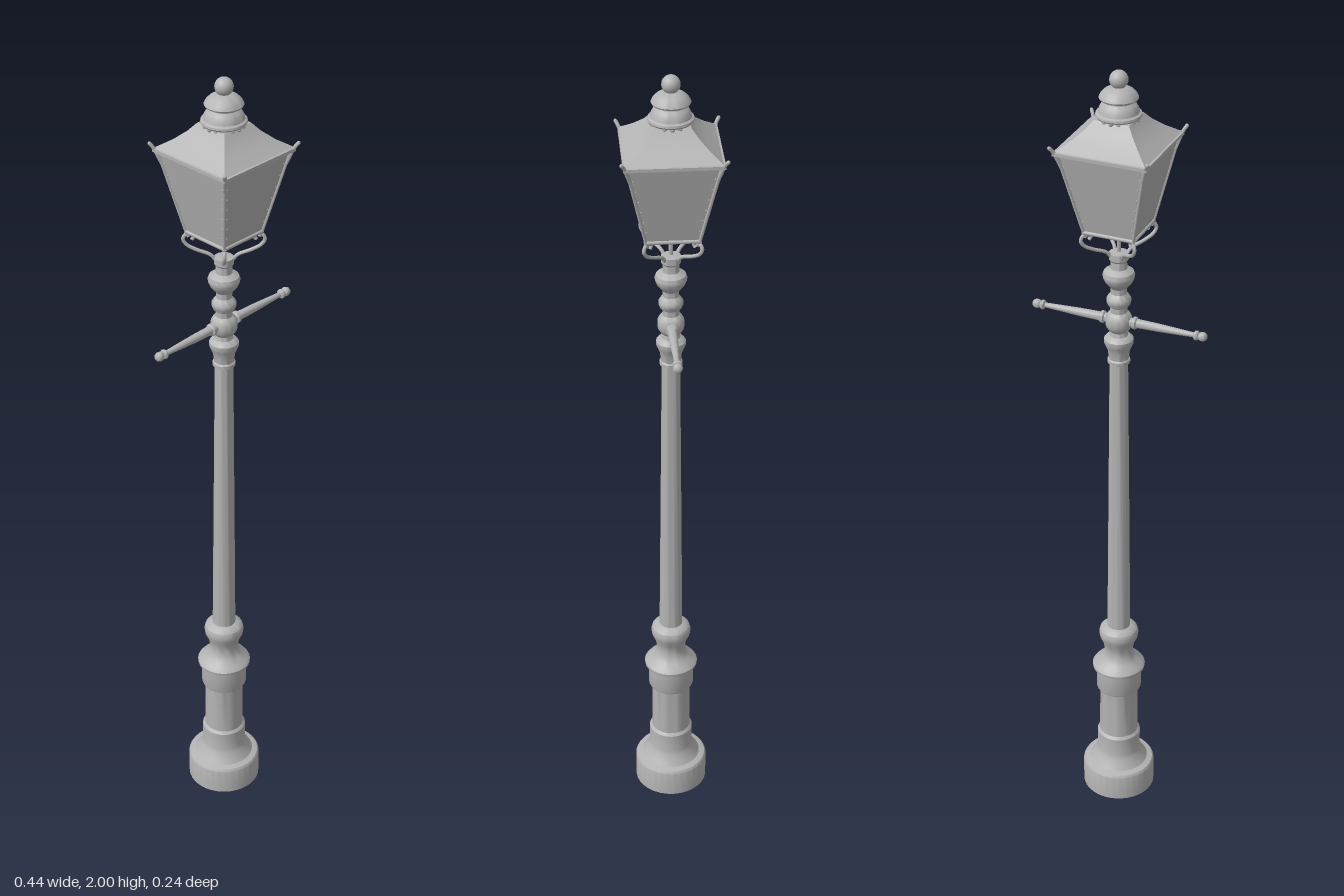
import * as THREE from 'three';
import { toCreasedNormals } from 'three/addons/utils/BufferGeometryUtils.js';

const iron = new THREE.MeshStandardMaterial({ color: 0xb4b4b4, side: THREE.DoubleSide });
iron.name = 'grey iron';

const V = (x, y, z) => new THREE.Vector3(x, y, z);

function add(parent, name, geometry) {
  const mesh = new THREE.Mesh(geometry, iron);
  mesh.name = name;
  parent.add(mesh);
  return mesh;
}

// turned part from [radius, height] pairs
function turned(points, segments = 32, phi = 0, crease = 0.6) {
  const g = new THREE.LatheGeometry(points.map(([r, y]) => new THREE.Vector2(r, y)), segments, phi);
  return toCreasedNormals(g, crease);
}

// square part from [half width, height] pairs
const squared = (points) => turned(points.map(([h, y]) => [h * Math.SQRT2, y]), 4, Math.PI / 4, 0.3);

// straight round bar between two points
function bar(parent, name, a, b, r) {
  const mesh = add(parent, name, new THREE.CylinderGeometry(r, r, a.distanceTo(b), 8));
  mesh.position.copy(a).lerp(b, 0.5);
  mesh.quaternion.setFromUnitVectors(V(0, 1, 0), b.clone().sub(a).normalize());
}

function ball(parent, name, r, x, y, z, detail = 10) {
  add(parent, name, new THREE.SphereGeometry(r, detail * 2, detail)).position.set(x, y, z);
}

function buildPost(model) {
  const post = new THREE.Group();
  post.name = 'post';
  model.add(post);
  // hollow foot, pedestal and vase-shaped neck
  add(post, 'pedestal', turned([
    [0, 0.06], [0.08, 0.06], [0.084, 0], [0.092, 0], [0.092, 0.068], [0.088, 0.074],
    [0.074, 0.078], [0.066, 0.09], [0.058, 0.105], [0.055, 0.115], [0.055, 0.165], [0.049, 0.172],
    [0.048, 0.305], [0.055, 0.308], [0.057, 0.313], [0.057, 0.367], [0.066, 0.373], [0.067, 0.381],
    [0.06, 0.39], [0.046, 0.4], [0.038, 0.415], [0.036, 0.43], [0.04, 0.45], [0.048, 0.467],
    [0.05, 0.48], [0.047, 0.492], [0.038, 0.5], [0.029, 0.503],
  ]));
  add(post, 'shaft', turned([[0.029, 0.5], [0.022, 1.272]]));
  // rings below and above the ladder bar
  add(post, 'collars', turned([
    [0.022, 1.266], [0.027, 1.269], [0.027, 1.277], [0.024, 1.28], [0.026, 1.3], [0.032, 1.315],
    [0.035, 1.322], [0.035, 1.332], [0.03, 1.338], [0.022, 1.342], [0.02, 1.352], [0.026, 1.358],
    [0.031, 1.367], [0.032, 1.378], [0.031, 1.389], [0.026, 1.398], [0.02, 1.403], [0.02, 1.417],
    [0.026, 1.422], [0.029, 1.43], [0.029, 1.438], [0.024, 1.446], [0.019, 1.452], [0.019, 1.466],
    [0.026, 1.474], [0.033, 1.483], [0.037, 1.493], [0.038, 1.5], [0.035, 1.508], [0.027, 1.513],
    [0.02, 1.517], [0.019, 1.535], [0.023, 1.54], [0.023, 1.556], [0, 1.56],
  ]));
}

function buildLadderBar(model) {
  const ladder = new THREE.Group();
  ladder.name = 'ladderBar';
  ladder.position.y = 1.38;
  model.add(ladder);
  for (const s of [1, -1]) {
    const arm = add(ladder, 'ladderBarArm', turned([
      [0.011, 0], [0.011, 0.034], [0.015, 0.037], [0.015, 0.044], [0.011, 0.047], [0.01, 0.1],
      [0.006, 0.188], [0.011, 0.191], [0.012, 0.195], [0.01, 0.199], [0.007, 0.2],
      [0.0105, 0.204], [0.0115, 0.21], [0.009, 0.217], [0.005, 0.22], [0, 0.2205],
    ], 16));
    arm.rotation.z = -s * Math.PI / 2;
  }
}

function buildLantern(model) {
  const lantern = new THREE.Group();
  lantern.name = 'lantern';
  model.add(lantern);
  const low = 1.622, high = 1.822, lowHalf = 0.061, highHalf = 0.104;

  for (let i = 0; i < 4; i++) {
    const side = new THREE.Group();
    side.name = 'lanternSide';
    side.rotation.y = i * Math.PI / 2;
    lantern.add(side);
    const bl = V(-lowHalf, low, lowHalf), br = V(lowHalf, low, lowHalf);
    const tl = V(-highHalf, high, highHalf), tr = V(highHalf, high, highHalf);

    // sloping pane
    const pane = new THREE.BufferGeometry().setFromPoints([bl, br, tr, bl, tr, tl]);
    pane.computeVertexNormals();
    add(side, 'pane', pane);

    // frame bars around the pane
    bar(side, 'lowerRail', bl, br, 0.005);
    bar(side, 'upperRail', tl, tr, 0.004);
    bar(side, 'cornerBar', br, tr, 0.004);
    for (const s of [1, -1]) {
      for (let k = 1; k < 7; k++) {
        const h = THREE.MathUtils.lerp(lowHalf, highHalf, k / 7);
        ball(side, 'rivet', 0.0022, s * (h - 0.007), THREE.MathUtils.lerp(low, high, k / 7), h, 4);
      }
    }

    // curled tip at the eaves corner
    const curl = new THREE.CatmullRomCurve3([
      V(0.097, 1.79, 0.097), V(0.105, 1.815, 0.105), V(0.111, 1.832, 0.111), V(0.117, 1.842, 0.117),
    ]);
    add(side, 'cornerTip', new THREE.TubeGeometry(curl, 8, 0.0045, 8));
    ball(side, 'cornerTipEnd', 0.0045, 0.117, 1.842, 0.117, 5);

    // diagonal scroll bracket from the post to the lantern corner
    const scroll = new THREE.CatmullRomCurve3([
      [0.012, 1.545], [0.022, 1.562], [0.044, 1.575], [0.06, 1.588], [0.066, 1.602],
      [0.062, 1.614], [0.053, 1.616], [0.048, 1.609], [0.052, 1.602],
    ].map(([d, y]) => V(d, y, d)));
    add(side, 'scrollBracket', new THREE.TubeGeometry(scroll, 32, 0.0045, 8));
    bar(side, 'bracketPin', V(0.057, 1.61, 0.057), br, 0.005);

    // floor bar to the centre rod
    bar(side, 'floorBar', V(0, low, 0), V(0, low, lowHalf), 0.004);
  }
  bar(lantern, 'gasPipe', V(0, 1.55, 0), V(0, 1.69, 0), 0.005);

  // flared square roof
  add(lantern, 'roof', squared([
    [0.102, 1.82], [0.113, 1.822], [0.113, 1.83], [0.108, 1.831],
    [0.08, 1.852], [0.057, 1.873], [0.042, 1.892], [0, 1.893],
  ]));

  // two-tier ventilator cap
  add(lantern, 'ventilator', turned([
    [0.04, 1.875], [0.041, 1.892], [0.05, 1.892], [0.053, 1.896], [0.052, 1.901], [0.047, 1.904],
    [0.045, 1.912], [0.04, 1.921], [0.032, 1.927], [0.031, 1.934], [0.043, 1.934], [0.045, 1.938],
    [0.041, 1.946], [0.033, 1.954], [0.022, 1.96], [0.01, 1.963], [0.009, 1.97],
  ]));
  for (let k = 0; k < 16; k++) {
    const a = k * Math.PI / 8;
    ball(lantern, 'ventTooth', 0.006, 0.045 * Math.cos(a), 1.89, 0.045 * Math.sin(a), 5);
  }
  ball(lantern, 'finial', 0.0215, 0, 1.9785, 0, 12);
}

export function createModel() {
  const model = new THREE.Group();
  model.name = 'streetLamp';
  buildPost(model);
  buildLadderBar(model);
  buildLantern(model);
  return model;
}
